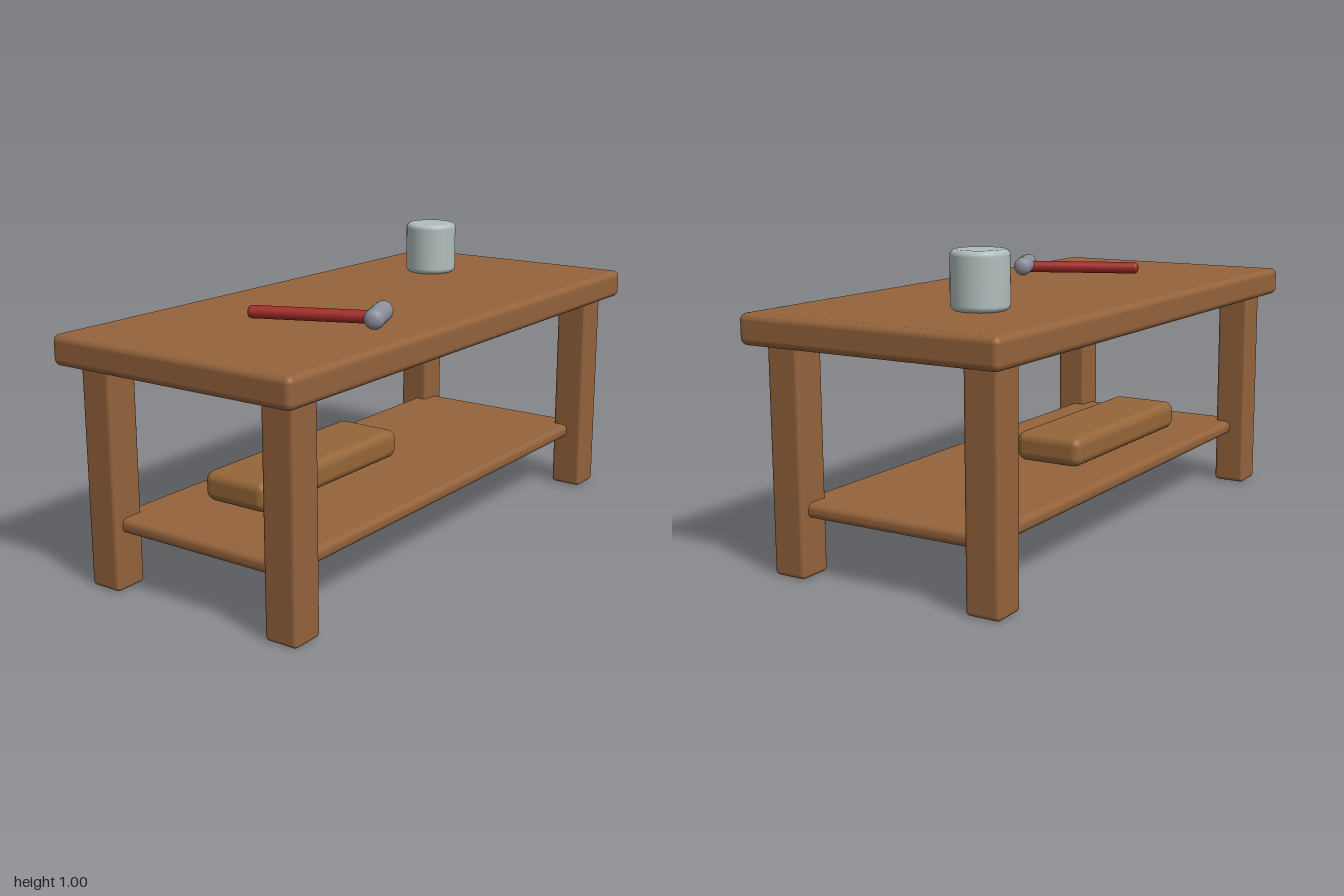
import * as THREE from 'three';
import { RoundedBoxGeometry } from 'three/addons/geometries/RoundedBoxGeometry.js';

const material = (name, color) => new THREE.MeshStandardMaterial({ name, color });

export function createModel() {
  const model = new THREE.Group();
  model.name = 'workbench';
  const wood = material('wood', 0x94633c);
  const timber = material('timber', 0x956639);
  const paint = material('redPaint', 0xa02a26);
  const steel = material('steel', 0x8b8f9a);
  const tin = material('tin', 0xb0bdbc);

  function add(name, geometry, mat, x, y, z) {
    const mesh = new THREE.Mesh(geometry, mat);
    mesh.name = name;
    mesh.position.set(x, y, z);
    model.add(mesh);
    return mesh;
  }

  // Box with rounded edges, placed by its lowest y
  const block = (name, w, h, d, r, mat, x, y, z) =>
    add(name, new RoundedBoxGeometry(w, h, d, 4, r), mat, x, y + h / 2, z);

  // Cylinder with rounded rims, centred on the origin
  function roundedCylinder(radius, length, bevel, sides) {
    const points = [new THREE.Vector2(0, -length / 2)];
    for (const end of [-1, 1]) {
      for (let i = 0; i <= 6; i++) {
        const a = (end < 0 ? i - 6 : i) * Math.PI / 12;
        points.push(new THREE.Vector2(
          radius - bevel + bevel * Math.cos(a),
          end * (length / 2 - bevel) + bevel * Math.sin(a)));
      }
    }
    points.push(new THREE.Vector2(0, length / 2));
    return new THREE.LatheGeometry(points, sides);
  }

  // Table
  block('tableTop', 2, 0.097, 0.912, 0.022, wood, 0, 0.72, 0);
  for (const x of [-1, 1]) {
    for (const z of [-1, 1]) {
      block('leg', 0.116, 0.722, 0.116, 0.014, wood, x * 0.873, 0, z * 0.351);
    }
  }
  block('shelf', 1.8, 0.048, 0.7, 0.02, wood, 0, 0.187, 0);

  // Things on the shelf and the top
  block('timberBlock', 0.746, 0.1, 0.248, 0.032, timber, -0.252, 0.235, -0.082);
  add('can', roundedCylinder(0.091, 0.183, 0.018, 40), tin, 0.58, 0.9085, -0.125);

  // Hammer lying at an angle
  const up = new THREE.Vector3(0, 1, 0);
  const along = new THREE.Vector3(0.385, 0, 0.923).normalize();
  const across = new THREE.Vector3(along.z, 0, -along.x);
  add('hammerHandle', roundedCylinder(0.021, 0.42, 0.015, 20), paint, -0.42, 0.844, 0.087)
    .quaternion.setFromUnitVectors(up, along);
  add('hammerHead', roundedCylinder(0.033, 0.176, 0.027, 20), steel, -0.336, 0.851, 0.276)
    .quaternion.setFromUnitVectors(up, across);

  return model;
}
